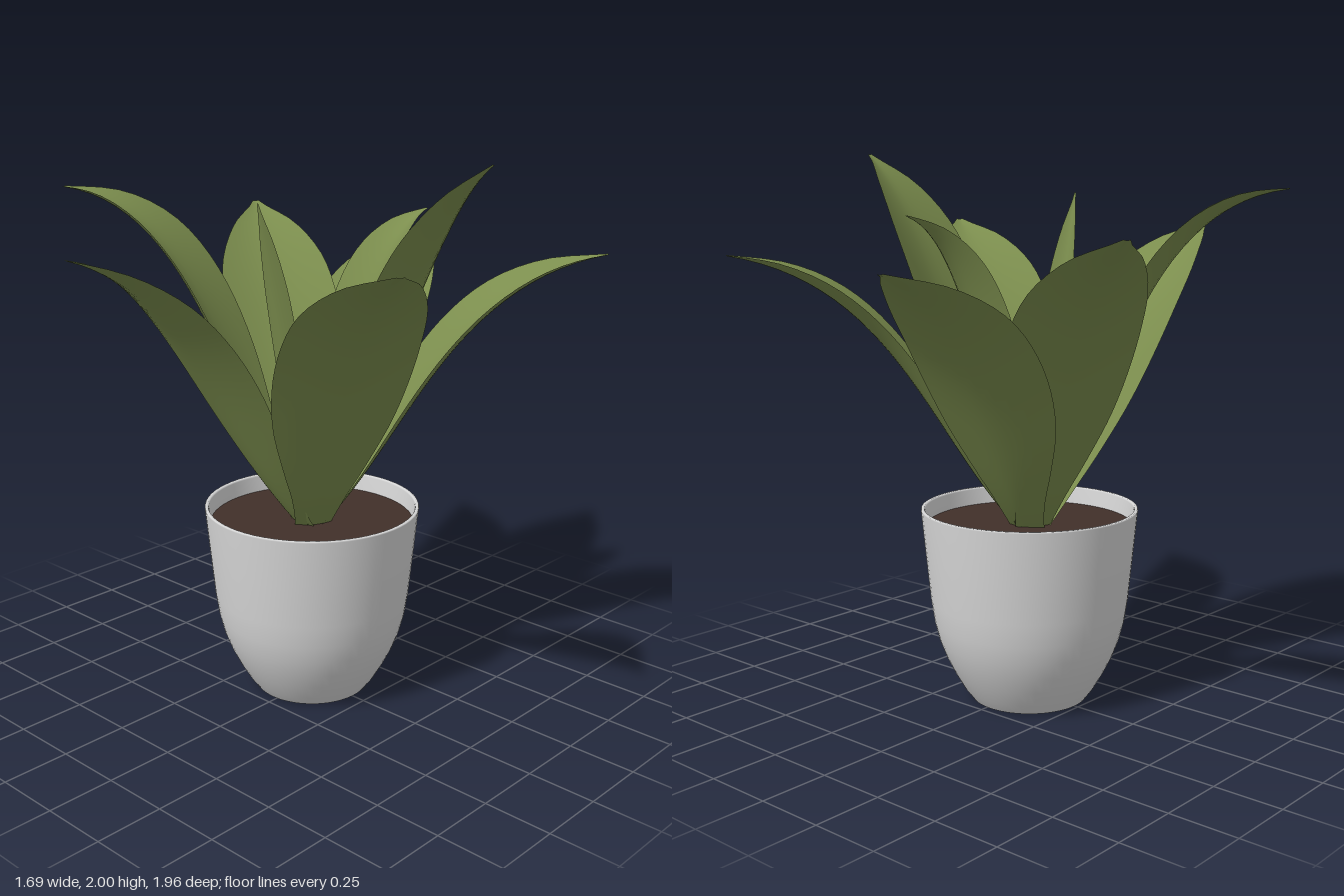
import * as THREE from 'three';

const CENTRE_X = -0.02;
const BASE_Y = 0.6;

// Half-width of a blade from base to tip, relative to its widest point
const bladeOutline = new THREE.SplineCurve(
  [0.26, 0.4, 0.65, 0.88, 0.99, 0.99, 0.87, 0.54, 0.05].map((w, i) => new THREE.Vector2(i, w))
);

// Point on the midrib: leaves the pot steeply and levels out toward the tip
function midrib(t, length, height, arch, target) {
  const bend = 6.75 * t * t * (1 - t) * arch / 2;
  return target.set(0.008 + (t - bend) * (length - 0.008), BASE_Y + (t + bend) * (height - BASE_Y));
}

// Cupped blade bent along its midrib and bowed slightly sideways
function leafGeometry([tipX, tipY, tipZ], halfWidth, arch, cup, bow) {
  const dx = tipX - CENTRE_X;
  const length = Math.hypot(dx, tipZ);
  const out = new THREE.Vector3(dx / length, 0, tipZ / length);
  const side = new THREE.Vector3(out.z, 0, -out.x);
  const geometry = new THREE.PlaneGeometry(2, 1, 10, 28);
  const pos = geometry.attributes.position;
  const p = new THREE.Vector2();
  const a = new THREE.Vector2();
  const b = new THREE.Vector2();
  const v = new THREE.Vector3();
  for (let i = 0; i < pos.count; i++) {
    const u = pos.getX(i);
    const t = pos.getY(i) + 0.5;
    midrib(t, length, tipY, arch, p);
    midrib(t - 0.01, length, tipY, arch, a);
    midrib(t + 0.01, length, tipY, arch, b);
    const slope = b.sub(a).normalize();
    const w = bladeOutline.getPoint(t).y * halfWidth;
    const lift = cup * w * Math.pow(Math.abs(u), 1.6);
    v.set(CENTRE_X, 0, 0)
      .addScaledVector(out, p.x - slope.y * lift)
      .addScaledVector(side, u * w + bow * 4 * t * (1 - t));
    pos.setXYZ(i, v.x, p.y + slope.x * lift, v.z);
  }
  geometry.computeVertexNormals();
  return geometry;
}

export function createModel() {
  const model = new THREE.Group();
  const potMaterial = new THREE.MeshStandardMaterial({ color: 0xd8d8d8 });
  potMaterial.name = 'pale ceramic';
  const soilMaterial = new THREE.MeshStandardMaterial({ color: 0x41302a });
  soilMaterial.name = 'brown soil';
  const leafMaterial = new THREE.MeshStandardMaterial({ color: 0x7c8e4e, side: THREE.DoubleSide });
  leafMaterial.name = 'leaf green';

  const add = (name, geometry, material, parent) => {
    const mesh = new THREE.Mesh(geometry, material);
    mesh.name = name;
    parent.add(mesh);
    return mesh;
  };

  // Pot: outer wall, thin rim and inner wall in one profile
  const pot = new THREE.Group();
  pot.name = 'pot';
  pot.position.set(CENTRE_X, 0, -0.005);
  model.add(pot);
  const profile = [
    [0.215, 0], [0.245, 0.04], [0.28, 0.1], [0.31, 0.16], [0.335, 0.225], [0.353, 0.295],
    [0.366, 0.38], [0.383, 0.55], [0.399, 0.715], [0.397, 0.72], [0.387, 0.72], [0.384, 0.714], [0.375, 0.62]
  ].map(([x, y]) => new THREE.Vector2(x, y));
  add('potWall', new THREE.LatheGeometry(profile, 64), potMaterial, pot);
  add('potBottom', new THREE.CircleGeometry(0.215, 64).rotateX(Math.PI / 2), potMaterial, pot);

  // Soil disc just below the rim
  const soil = add('soil', new THREE.CircleGeometry(0.38, 64).rotateX(-Math.PI / 2), soilMaterial, pot);
  soil.position.y = 0.655;

  // Leaves: tip position, half-width, arch, cup depth, sideways bow
  const leaves = new THREE.Group();
  leaves.name = 'leaves';
  model.add(leaves);
  [
    ['frontLeaf', [-0.12, 1.74, 0.98], 0.22, 0.165, 0.2, -0.03],
    ['frontLeftLeaf', [0.84, 1.75, 0.54], 0.24, 0.15, 0.22, 0],
    ['leftLeaf', [0.65, 2.0, -0.15], 0.225, 0.13, 0.2, 0.03],
    ['backLeftLeaf', [0.71, 1.64, -0.78], 0.18, 0.21, 0.32, 0],
    ['backLeaf', [-0.28, 1.62, -0.98], 0.24, 0.165, 0.22, 0.03],
    ['backRightLeaf', [-0.84, 1.72, -0.53], 0.23, 0.14, 0.22, 0],
    ['frontRightLeaf', [-0.78, 1.87, 0.49], 0.2, 0.25, 0.32, 0],
    ['innerBackLeaf', [0.11, 1.78, -0.49], 0.147, 0.21, 0.32, 0.04],
    ['youngLeaf', [0, 1.86, 0.28], 0.06, 0.03, 0.36, 0]
  ].forEach(([name, ...shape]) => add(name, leafGeometry(...shape), leafMaterial, leaves));

  return model;
}
